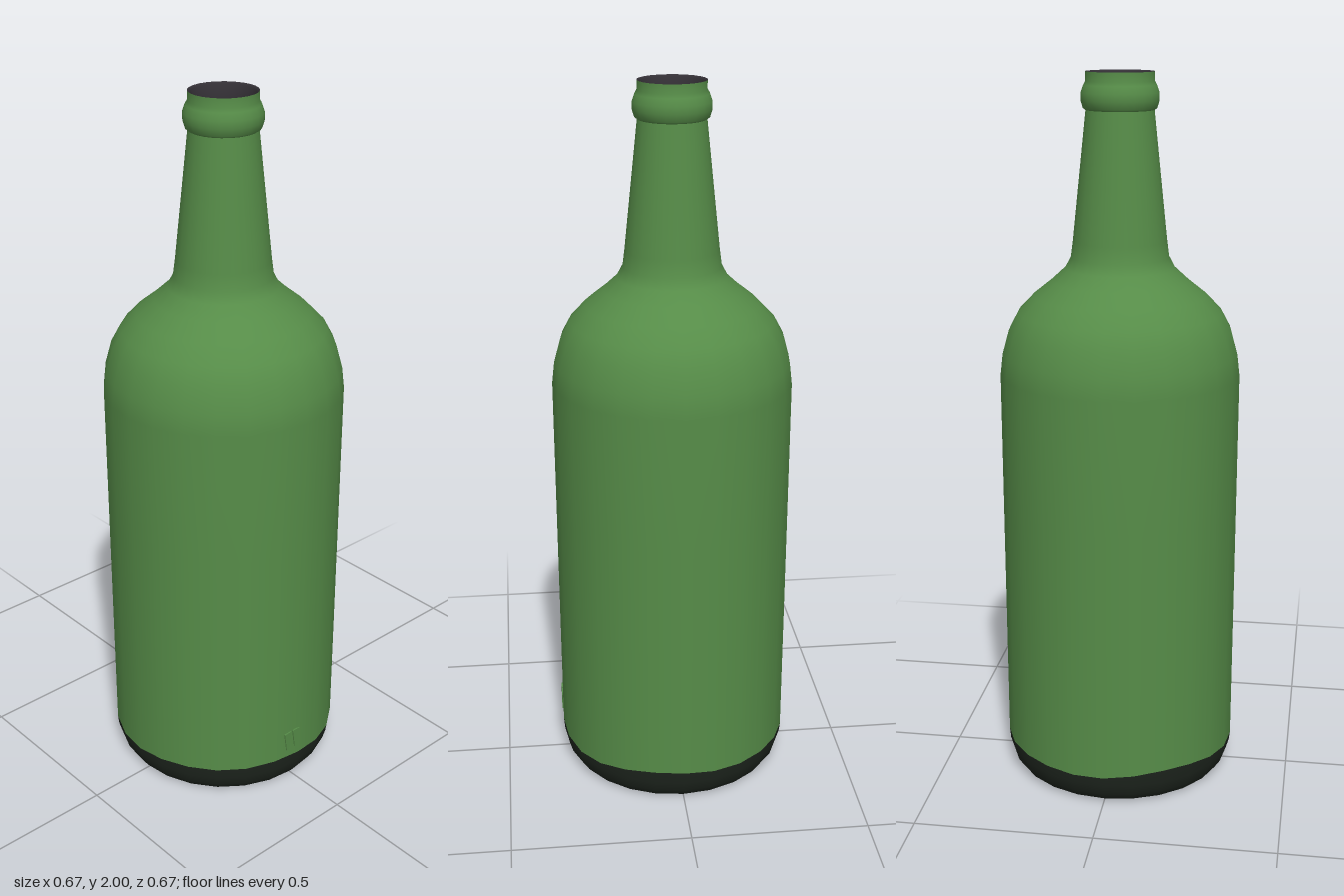
import * as THREE from 'three';

const SEGMENTS = 24;

export function createModel() {
  const bottle = new THREE.Group();
  bottle.name = 'bottle';

  const glass = new THREE.MeshStandardMaterial({ color: 0x568c48, side: THREE.DoubleSide });
  glass.name = 'green glass';
  const dark = new THREE.MeshStandardMaterial({ color: 0x1d241d, side: THREE.DoubleSide });
  dark.name = 'dark green';
  const lining = new THREE.MeshStandardMaterial({ color: 0x353137, side: THREE.DoubleSide });
  lining.name = 'dark grey';

  const add = (name, geometry, material) => {
    const mesh = new THREE.Mesh(geometry, material);
    mesh.name = name;
    bottle.add(mesh);
    return mesh;
  };
  const lathe = (points, segments = SEGMENTS) =>
    new THREE.LatheGeometry(points.map(([r, y]) => new THREE.Vector2(r, y)), segments);

  // Uneven seam shared by the body and the dark foot
  const SEAM = 0.09;
  const waveSeam = (geometry) => {
    const p = geometry.attributes.position;
    for (let i = 0; i < p.count; i++) {
      if (Math.abs(p.getY(i) - SEAM) > 1e-4) continue;
      const a = Math.atan2(p.getX(i), p.getZ(i));
      p.setY(i, SEAM - 0.006 * Math.cos(a * 3) + 0.004 * Math.sin(a * 5));
    }
    return geometry;
  };

  // Foot, body with shoulder, and tapering neck
  add('foot', waveSeam(lathe([
    [0.288, 0], [0.305, 0.008], [0.32, 0.03], [0.329, 0.06], [0.332, SEAM],
  ])), dark);
  add('body', waveSeam(lathe([
    [0.332, SEAM], [0.333, 0.4], [0.334, 0.8], [0.335, 1.18], [0.328, 1.24],
    [0.31, 1.305], [0.283, 1.355], [0.24, 1.4], [0.19, 1.44], [0.152, 1.475],
    [0.136, 1.505], [0.13, 1.55], [0.112, 1.72], [0.093, 1.9],
  ])), glass);

  // Rounded collar around the mouth
  add('collar', lathe([
    [0.093, 1.9], [0.1, 1.905], [0.106, 1.925], [0.106, 1.945],
    [0.099, 1.965], [0.093, 1.975], [0.093, 2],
  ]), glass);

  // Mouth edge and the inside of the neck
  add('mouthLining', lathe([
    [0.093, 2], [0.085, 1.995], [0.081, 1.96], [0.081, 1.85], [0.09, 1.75],
  ]), lining);

  // Hollowed underside with a faceted dent in the middle
  add('underside', lathe([[0.1, 0.035], [0.2, 0.028], [0.265, 0.018], [0.288, 0]]), glass);
  const dent = lathe([[0, 0.1], [0.1, 0.035]], 6).toNonIndexed();
  const p = dent.attributes.position;
  for (let i = 0; i < p.count; i++) {
    if (p.getY(i) > 0.09) p.setXYZ(i, 0.03, 0.1, -0.03);
  }
  dent.computeVertexNormals();
  add('undersideDent', dent, glass);
  // Flat filler between the six-sided dent and the round hollow
  const filler = new THREE.Shape().absarc(0, 0, 0.103, 0, Math.PI * 2);
  const hole = new THREE.Path();
  for (let i = 0; i < 6; i++) {
    const a = -i * Math.PI / 3 + Math.PI / 2;
    hole[i ? 'lineTo' : 'moveTo'](0.099 * Math.cos(a), 0.099 * Math.sin(a));
  }
  filler.holes.push(hole);
  const ring = add('undersideRing', new THREE.ShapeGeometry(filler, 12), glass);
  ring.rotation.x = Math.PI / 2;
  ring.position.y = 0.035;

  // Two small tapered mould marks low on the left side
  const mark = new THREE.Shape([
    new THREE.Vector2(-0.013, 0.03), new THREE.Vector2(-0.004, -0.03),
    new THREE.Vector2(0.006, -0.03), new THREE.Vector2(0.013, 0.03),
  ]);
  const markGeometry = new THREE.ExtrudeGeometry(mark, { depth: 0.004, bevelEnabled: false });
  for (const z of [0.012, 0.044]) {
    const mesh = add('mouldMark', markGeometry, glass);
    mesh.position.set(0.331, 0.155, z);
    mesh.rotation.y = Math.PI / 2;
  }

  return bottle;
}
